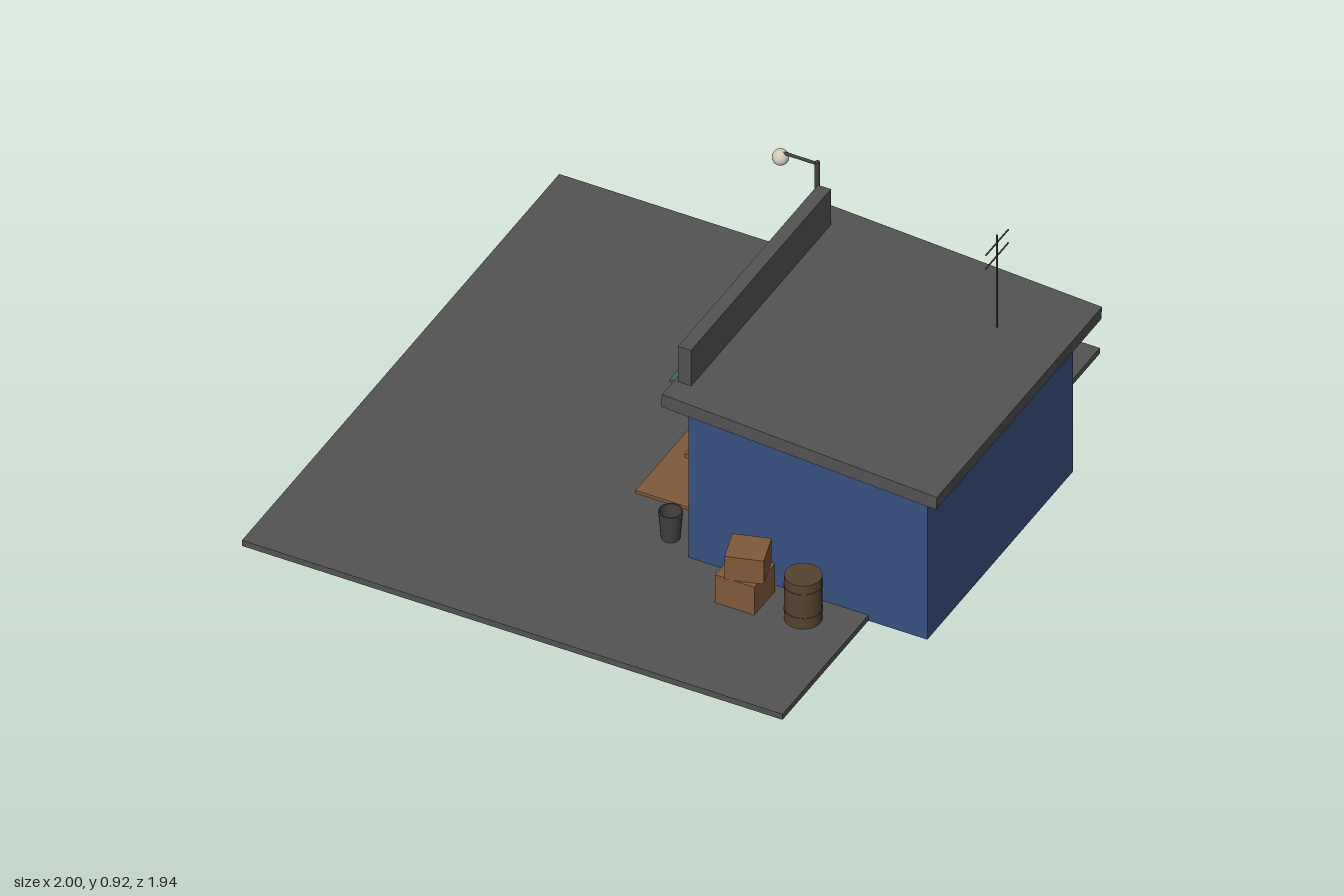
import * as THREE from 'three';

export function createModel() {
  const root = new THREE.Group();
  const mat = (name, color) => {
    const m = new THREE.MeshStandardMaterial({ color });
    m.name = name;
    return m;
  };
  const grey = mat('slate grey', 0x535353);
  const blue = mat('wall blue', 0x385180);
  const wood = mat('warm wood', 0x80593a);
  const brown = mat('dark brown', 0x55432f);
  const teal = mat('teal', 0x3f6f70);
  const cream = mat('cream', 0xd3cab7);
  const metal = mat('dark metal', 0x414141);

  const add = (name, geo, material, x = 0, y = 0, z = 0, parent = root) => {
    const m = new THREE.Mesh(geo, material);
    m.name = name;
    m.position.set(x, y, z);
    parent.add(m);
    return m;
  };
  // Box given by its lowest and highest corners
  const box = (name, material, a, b, parent = root) => add(name,
    new THREE.BoxGeometry(b[0] - a[0], b[1] - a[1], b[2] - a[2]), material,
    (a[0] + b[0]) / 2, (a[1] + b[1]) / 2, (a[2] + b[2]) / 2, parent);
  // Round bar between two points
  const rod = (name, material, a, b, r, parent = root) => {
    const p = new THREE.Vector3(...a), q = new THREE.Vector3(...b);
    const m = add(name, new THREE.CylinderGeometry(r, r, p.distanceTo(q), 10), material, 0, 0, 0, parent);
    m.position.copy(p).lerp(q, 0.5);
    m.quaternion.setFromUnitVectors(new THREE.Vector3(0, 1, 0), q.sub(p).normalize());
    return m;
  };
  const group = (name) => {
    const g = new THREE.Group();
    g.name = name;
    root.add(g);
    return g;
  };

  box('ground', grey, [-1, 0, -0.97], [0.745, 0.02, 0.97]);

  // Walls: the shop side has a serving hatch
  const walls = group('walls');
  const t = 0.03, top = 0.545;
  box('backWall', blue, [0.935 - t, 0, -0.445], [0.935, top, 0.445], walls);
  for (const s of [-1, 1]) {
    const w = box('sideWall', blue, [0.165 + t, 0, 0.445 - t], [0.935 - t, top, 0.445], walls);
    w.position.z *= s;
  }
  const face = new THREE.Shape([[-0.445, 0], [0.445, 0], [0.445, top], [-0.445, top]]
    .map(p => new THREE.Vector2(...p)));
  face.holes.push(new THREE.Path([[-0.2, 0.215], [-0.2, 0.45], [0.2, 0.45], [0.2, 0.215]]
    .map(p => new THREE.Vector2(...p))));
  const hatchWall = add('hatchWall',
    new THREE.ExtrudeGeometry(face, { depth: t, bevelEnabled: false }), blue, 0.165 + t, 0, 0, walls);
  hatchWall.rotation.y = -Math.PI / 2;
  box('floor', brown, [0.165 + t, 0.005, -0.445 + t], [0.935 - t, 0.025, 0.445 - t]);
  box('backShelf', wood, [0.8, 0.3, -0.35], [0.9, 0.32, 0.35]);

  // Hatch frame, shutters and counter
  for (const s of [-1, 1]) {
    box('framePost', cream, [0.158, 0.215, s * 0.2 - 0.008], [0.175, 0.45, s * 0.2 + 0.008]);
    const shutter = group('shutter');
    box('shutterPanel', teal, [0.156, 0.21, s * 0.255 - 0.045], [0.165, 0.45, s * 0.255 + 0.045], shutter);
    for (let i = 0; i < 5; i++) {
      const y = 0.235 + i * 0.045;
      box('slat', teal, [0.15, y, s * 0.255 - 0.036], [0.157, y + 0.02, s * 0.255 + 0.036], shutter);
    }
  }
  box('frameHead', cream, [0.158, 0.442, -0.208], [0.175, 0.456, 0.208]);
  box('counter', wood, [0.045, 0.2, -0.245], [0.19, 0.215, 0.245]);

  // Small round plaque beside the hatch
  const plaque = group('plaque');
  const discs = [['plaqueRim', wood, 0.032, 0.16], ['plaqueFace', cream, 0.024, 0.157]];
  for (const [name, m, r, x] of discs) {
    add(name, new THREE.CylinderGeometry(r, r, 0.009, 24), m, x, 0.34, -0.355, plaque).rotation.z = Math.PI / 2;
  }

  // Striped awning
  const awning = group('awning');
  awning.position.set(0.0825, 0.493, 0);
  awning.rotation.z = Math.atan2(0.06, 0.165);
  for (let i = 0; i < 6; i++) {
    add('stripe', new THREE.BoxGeometry(0.176, 0.006, 0.5 / 6), i % 2 ? teal : cream,
      0, 0, -0.25 + (i + 0.5) * 0.5 / 6, awning);
  }
  box('deckMat', wood, [-0.11, 0.02, -0.25], [0.12, 0.03, 0.25]);

  // Sloping roof with a parapet board
  add('roof', new THREE.BoxGeometry(0.889, 0.045, 1.01), grey, 0.551, 0.576, -0.003)
    .rotation.z = -Math.atan2(0.053, 0.89);
  box('parapet', grey, [0.12, 0.6, -0.43], [0.162, 0.75, 0.425]);

  // Aerial
  const aerial = group('aerial');
  rod('mast', metal, [0.782, 0.57, -0.27], [0.782, 0.915, -0.27], 0.003, aerial);
  for (const y of [0.84, 0.888]) rod('crossbar', metal, [0.782, y, -0.34], [0.782, y, -0.203], 0.0025, aerial);

  // Street lamp
  const lamp = group('streetLamp');
  rod('lowerPole', metal, [0.047, 0.02, -0.565], [0.047, 0.35, -0.565], 0.011, lamp);
  rod('upperPole', metal, [0.047, 0.35, -0.565], [0.047, 0.715, -0.565], 0.008, lamp);
  rod('arm', metal, [0.05, 0.708, -0.565], [-0.072, 0.708, -0.565], 0.005, lamp);
  add('bulb', new THREE.SphereGeometry(0.025, 20, 14), cream, -0.072, 0.69, -0.565, lamp);

  // Bicycle leaning by the wall
  const bike = group('bicycle');
  const zb = -0.53;
  for (const x of [0.397, 0.573]) {
    add('wheel', new THREE.CylinderGeometry(0.055, 0.055, 0.008, 28), metal, x, 0.075, zb, bike)
      .rotation.x = Math.PI / 2;
  }
  const rear = [0.397, 0.075, zb], crank = [0.475, 0.075, zb], seat = [0.44, 0.165, zb];
  const head = [0.55, 0.155, zb], front = [0.573, 0.075, zb];
  for (const [a, b] of [[rear, crank], [rear, seat], [crank, seat], [crank, head], [seat, head], [head, front]]) {
    rod('frameTube', teal, a, b, 0.0045, bike);
  }
  rod('stem', metal, head, [0.543, 0.187, zb], 0.004, bike);
  rod('handlebar', metal, [0.525, 0.187, zb], [0.565, 0.187, zb], 0.005, bike);
  box('saddle', wood, [0.415, 0.165, zb - 0.008], [0.468, 0.178, zb + 0.008], bike);

  // Open waste bin
  const binProfile = [[0, 0.02], [0.028, 0.02], [0.036, 0.115], [0.032, 0.115], [0.026, 0.03], [0, 0.03]];
  for (let i = 1; i < binProfile.length; i++) {
    const pts = [binProfile[i - 1], binProfile[i]].map(p => new THREE.Vector2(...p));
    add('wasteBin', new THREE.LatheGeometry(pts, 24), metal, 0.075, 0, 0.385);
  }

  // Crates and barrel
  box('lowerCrate', wood, [0.33, 0.02, 0.47], [0.457, 0.12, 0.597]);
  add('upperCrate', new THREE.BoxGeometry(0.115, 0.083, 0.11), wood, 0.404, 0.1615, 0.535).rotation.y = 0.28;
  add('barrel', new THREE.CylinderGeometry(0.055, 0.055, 0.155, 28), brown, 0.586, 0.0975, 0.542);
  for (const y of [0.055, 0.14]) {
    add('barrelHoop', new THREE.CylinderGeometry(0.0565, 0.0565, 0.008, 28), brown, 0.586, y, 0.542);
  }
  return root;
}
